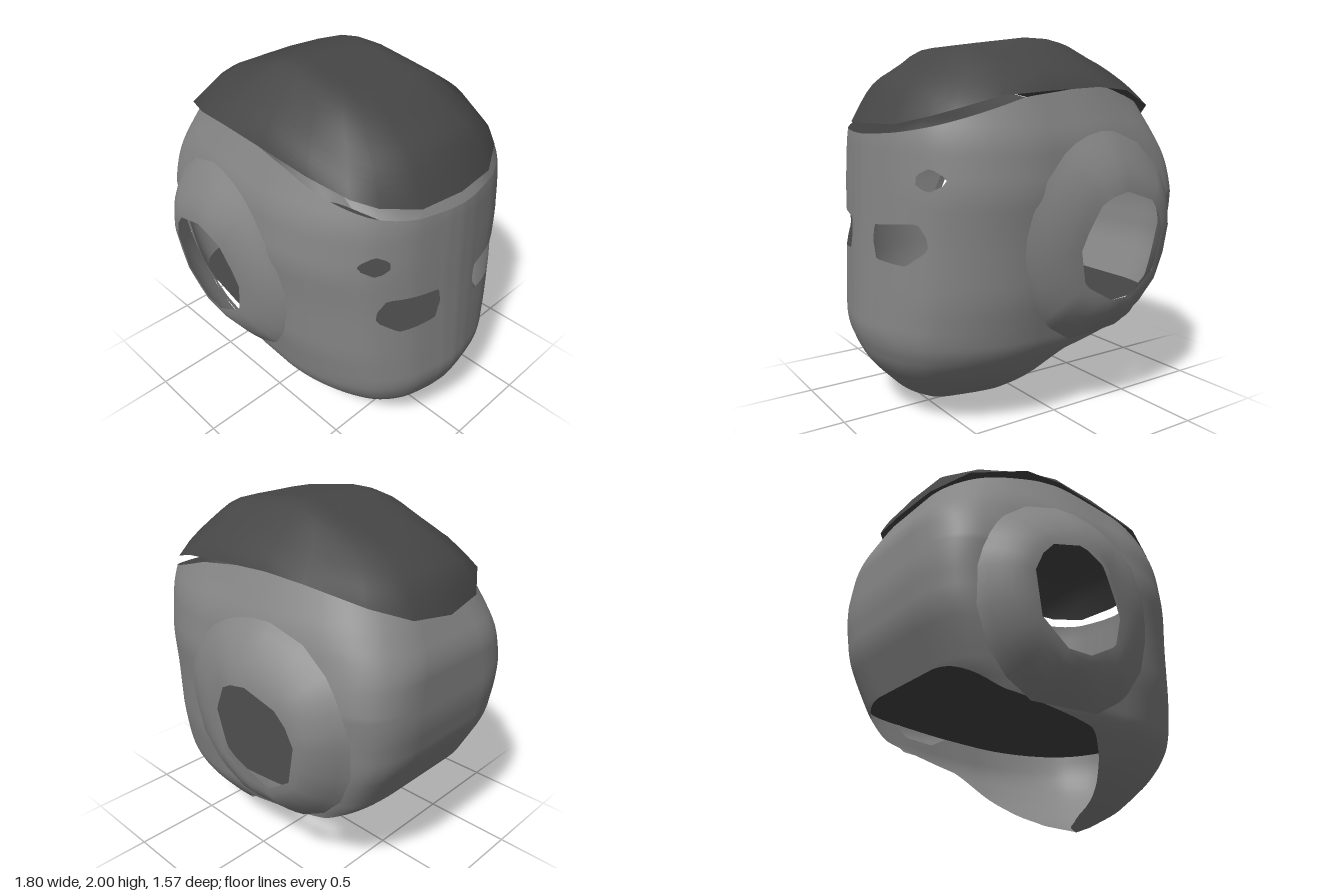
import * as THREE from 'three';

const SHELL_COLOR = 0x868686, DARK_COLOR = 0x464646;

// Linear lookup in a table of [t, value], and a softened version of it
function lookup(table, t) {
  if (t <= table[0][0]) return table[0][1];
  for (let i = 1; i < table.length; i++) {
    const [a, va] = table[i - 1], [b, vb] = table[i];
    if (t <= b) return va + (vb - va) * (t - a) / (b - a);
  }
  return table[table.length - 1][1];
}
function soft(table, t, window) {
  const d = Math.max(0, Math.min(window, t - table[0][0], table[table.length - 1][0] - t));
  let sum = 0;
  for (let i = -3; i <= 3; i++) sum += lookup(table, t + d * i / 3);
  return sum / 7;
}

// Shell extents by height: face, back of the head, half width, rounding of the upper back
const FACE = [[0, 0.42], [0.07, 0.61], [0.3, 0.835], [0.48, 0.905], [1, 0.875], [1.5, 0.855], [1.8, 0.8]];
const BACK = [[0, 0.5], [0.44, 0.62], [0.52, 0.71], [0.83, 0.87], [1.05, 0.905], [1.35, 0.895], [1.57, 0.79], [1.8, 0.65]];
const WIDTH = [[0, 0], [0.06, 0.22], [0.21, 0.45], [0.4, 0.605], [0.7, 0.665], [1, 0.685], [1.23, 0.71], [1.48, 0.68], [1.6, 0.63], [1.8, 0.55]];
const ROUNDING = [[1.15, 0], [1.57, 0.27], [1.8, 0.3]];
// Half outline seen from above, from the face (u = 1) round to the back (u = -1)
const OUTLINE = [[0, 1, 0], [0.18, 0.985, 0.26], [0.43, 0.91, 0.59], [0.66, 0.73, 0.83], [0.98, 0.38, 1],
  [1.48, -0.17, 0.97], [2.08, -0.83, 0.85], [2.21, -0.93, 0.76], [2.34, -1, 0.58], [2.76, -1, 0]];
const U = OUTLINE.map(o => [o[0], o[1]]), V = OUTLINE.map(o => [o[0], o[2]]);
// Lower and upper edges of the shell by u
const LOWER = [[-1, 0.58], [-0.94, 0.53], [-0.83, 0.46], [-0.17, 0.39], [0, 0.37], [0.2, 0.21], [0.38, 0.11], [0.55, 0.04], [0.75, 0.012], [1, 0]];
const UPPER = [[-1, 1.59], [-0.85, 1.65], [-0.45, 1.73], [-0.25, 1.74], [0.32, 1.68], [0.75, 1.565], [1, 1.5]];

const uAt = p => soft(U, p, 0.14), vAt = p => soft(V, p, 0.14);
function shellPoint(p, y) {
  const u = uAt(p), narrowing = u < 0 ? 1 - soft(ROUNDING, y, 0.1) * Math.abs(u) ** 3 : 1;
  return [u * soft(u > 0 ? FACE : BACK, y, 0.06), y, vAt(p) * soft(WIDTH, y, 0.06) * narrowing];
}
// Find p where a falling function reaches zero
function solve(f, lo, hi) {
  for (let i = 0; i < 30; i++) {
    const mid = (lo + hi) / 2;
    if (f(mid) > 0) lo = mid; else hi = mid;
  }
  return lo;
}
const onSide = (x, y) => shellPoint(solve(p => shellPoint(p, y)[0] - x, 0, 2.34), y);
const onFace = (z, y) => shellPoint(solve(p => z - shellPoint(p, y)[2], 0, 0.98), y);

// Openings: ear in (x, y), eye and brow in (z, y)
const EAR = [[-0.53, 0.98], [-0.49, 1.08], [-0.43, 1.15], [-0.24, 1.21], [-0.14, 1.19], [-0.07, 1.15], [0, 1.02],
  [0.035, 0.93], [0, 0.76], [-0.03, 0.73], [-0.18, 0.645], [-0.32, 0.645], [-0.48, 0.76]];
const EYE = [[0.46, 1.02], [0.42, 1.09], [0.14, 1.06], [0.13, 0.98], [0.16, 0.89], [0.36, 0.88], [0.46, 0.96]];
const BROW = [[0.53, 1.31], [0.47, 1.355], [0.41, 1.32], [0.41, 1.27], [0.47, 1.24], [0.53, 1.28]];
const EAR_CENTER = [-0.21, 0.95];
const EAR_CUT = EAR.map(([x, y]) => [EAR_CENTER[0] + (x - EAR_CENTER[0]) * 1.4, EAR_CENTER[1] + (y - EAR_CENTER[1]) * 1.4]);

function inside(poly, a, b) {
  let hit = false;
  poly.forEach(([x1, y1], i) => {
    const [x2, y2] = poly[(i + 1) % poly.length];
    if ((y1 > b) !== (y2 > b) && a < x1 + (x2 - x1) * (b - y1) / (y2 - y1)) hit = !hit;
  });
  return hit;
}
function nearestOnEdge(poly, a, b) {
  let best = null, bestD = Infinity;
  poly.forEach(([x1, y1], i) => {
    const [x2, y2] = poly[(i + 1) % poly.length], dx = x2 - x1, dy = y2 - y1;
    const t = Math.min(1, Math.max(0, ((a - x1) * dx + (b - y1) * dy) / (dx * dx + dy * dy)));
    const q = [x1 + dx * t, y1 + dy * t], d = Math.hypot(q[0] - a, q[1] - b);
    if (d < bestD) { bestD = d; best = q; }
  });
  return best;
}

function makeGeometry(positions, index) {
  const g = new THREE.BufferGeometry();
  g.setAttribute('position', new THREE.Float32BufferAttribute(positions, 3));
  g.setIndex(index);
  g.computeVertexNormals();
  return g;
}

// Half of the open shell, with vertices drawn onto the rims of the openings
function halfShell() {
  const cols = 130, rows = 84, pos = [], cut = [], index = [];
  for (let i = 0; i <= cols; i++) {
    const p = 2.76 * i / cols, u = uAt(p);
    const y0 = soft(LOWER, u, 0.04), y1 = soft(UPPER, u, 0.05);
    for (let j = 0; j <= rows; j++) {
      let [x, y, z] = shellPoint(p, y0 + (y1 - y0) * j / rows);
      let removed = false;
      if (x > 0.5) {
        for (const hole of [EYE, BROW]) if (!removed && inside(hole, z, y)) {
          removed = true;
          [x, y, z] = onFace(...nearestOnEdge(hole, z, y));
        }
      } else if (inside(EAR_CUT, x, y) && z > 0.4) {
        removed = true;
        [x, y, z] = onSide(...nearestOnEdge(EAR_CUT, x, y));
      }
      pos.push(x, y, z);
      cut.push(removed);
    }
  }
  const tri = (a, b, c) => { if (!(cut[a] && cut[b] && cut[c])) index.push(a, b, c); };
  for (let i = 0; i < cols; i++) for (let j = 0; j < rows; j++) {
    const a = i * (rows + 1) + j, b = a + rows + 1;
    tri(a, a + 1, b);
    tri(a + 1, b + 1, b);
  }
  const g = makeGeometry(pos, index), n = g.attributes.normal, v = new THREE.Vector3();
  // Level the normals on the centre line so the two halves meet smoothly
  for (let i = 0; i < n.count; i++) if (pos[i * 3 + 2] < 1e-4) {
    v.fromBufferAttribute(n, i).setZ(0).normalize();
    n.setXYZ(i, v.x, v.y, v.z);
  }
  return g;
}

// Raised cone-like collar from the shell up to the ear opening
function earCollar() {
  const rim = EAR.flatMap(([x, y], i) => {
    const [x2, y2] = EAR[(i + 1) % EAR.length];
    return [[x, y], [(x + x2) / 2, (y + y2) / 2]];
  });
  const steps = 6, count = rim.length, pos = [], index = [];
  for (let s = 0; s <= steps; s++) for (const [hx, hy] of rim) {
    const t = s / steps, angle = Math.atan2(hy - EAR_CENTER[1], hx - EAR_CENTER[0]);
    const rx = EAR_CENTER[0] + 0.53 * Math.cos(angle);
    const ry = Math.max(0.425, EAR_CENTER[1] + 0.56 * Math.sin(angle));
    const hz = 0.785 - 0.08 * (1.21 - hy) - 0.07 * Math.abs(hx + 0.15);
    const rz = onSide(rx, ry)[2] + 0.003;
    pos.push(hx + (rx - hx) * t, hy + (ry - hy) * t, hz + (rz - hz) * t ** 1.7);
  }
  for (let s = 0; s < steps; s++) for (let k = 0; k < count; k++) {
    const a = s * count + k, b = s * count + (k + 1) % count;
    index.push(a, b, a + count, b, b + count, a + count);
  }
  return makeGeometry(pos, index);
}

// Flat plate closing the inside of the shell above the neck
function neckPlate() {
  const half = [];
  for (let i = 0; i <= 30; i++) {
    const [x, , z] = shellPoint(2.76 * i / 30, 0.585);
    half.push(new THREE.Vector2(x * 0.99, -z * 0.99));
  }
  const mirrored = half.slice(1, -1).reverse().map(p => new THREE.Vector2(p.x, -p.y));
  return new THREE.ShapeGeometry(new THREE.Shape([...half, ...mirrored])).rotateX(-Math.PI / 2).translate(0, 0.585, 0);
}

// Domed cap: height from two profiles, bent down steeply to meet the rim
function capDome() {
  const half = [[0.83, 1.55, 0], [0.8, 1.55, 0.25], [0.7, 1.59, 0.43], [0.6, 1.625, 0.51], [0.4, 1.685, 0.58], [0.1, 1.71, 0.585],
    [-0.2, 1.73, 0.585], [-0.42, 1.715, 0.56], [-0.7, 1.635, 0.43], [-0.82, 1.56, 0.25], [-0.85, 1.53, 0]];
  const outline = [...half, ...half.slice(1, -1).reverse().map(([x, y, z]) => [x, y, -z])];
  const LENGTHWISE = [[-0.85, 1.53], [-0.77, 1.7], [-0.6, 1.82], [-0.24, 1.97], [-0.06, 2], [0.39, 1.94], [0.69, 1.76], [0.83, 1.55]];
  const DROP = [[0, 0], [0.26, 0], [0.45, 0.12], [0.585, 0.2]];
  const height = (x, z) => soft(LENGTHWISE, x, 0.04) - soft(DROP, Math.abs(z), 0.04);
  const rings = 18, count = outline.length, pos = [-0.06, 2, 0], index = [];
  for (let r = 1; r <= rings; r++) for (const [ox, oy, oz] of outline) {
    const s = Math.sin(r / rings * Math.PI / 2), x = -0.06 + (ox + 0.06) * s, z = oz * s;
    pos.push(x, height(x, z) + (oy - height(ox, oz)) * s ** 12, z);
  }
  for (let k = 0; k < count; k++) {
    const n = (k + 1) % count;
    index.push(0, 1 + n, 1 + k);
    for (let r = 0; r < rings - 1; r++) {
      const a = 1 + r * count + k, b = 1 + r * count + n;
      index.push(a, b, a + count, b, b + count, a + count);
    }
  }
  return makeGeometry(pos, index);
}

export function createModel() {
  const model = new THREE.Group();
  model.name = 'helmet';
  const add = (name, geometry, color, side = 1) => {
    const mesh = new THREE.Mesh(geometry, new THREE.MeshStandardMaterial({ color, side: THREE.DoubleSide }));
    mesh.name = name;
    mesh.scale.z = side;
    model.add(mesh);
  };
  const shell = halfShell(), collar = earCollar();
  for (const [label, side] of [['Front', 1], ['Back', -1]]) {
    add('shellHalf' + label, shell, SHELL_COLOR, side);
    add('earCollar' + label, collar, SHELL_COLOR, side);
  }
  add('neckPlate', neckPlate(), DARK_COLOR);
  add('cap', capDome(), DARK_COLOR);
  return model;
}
